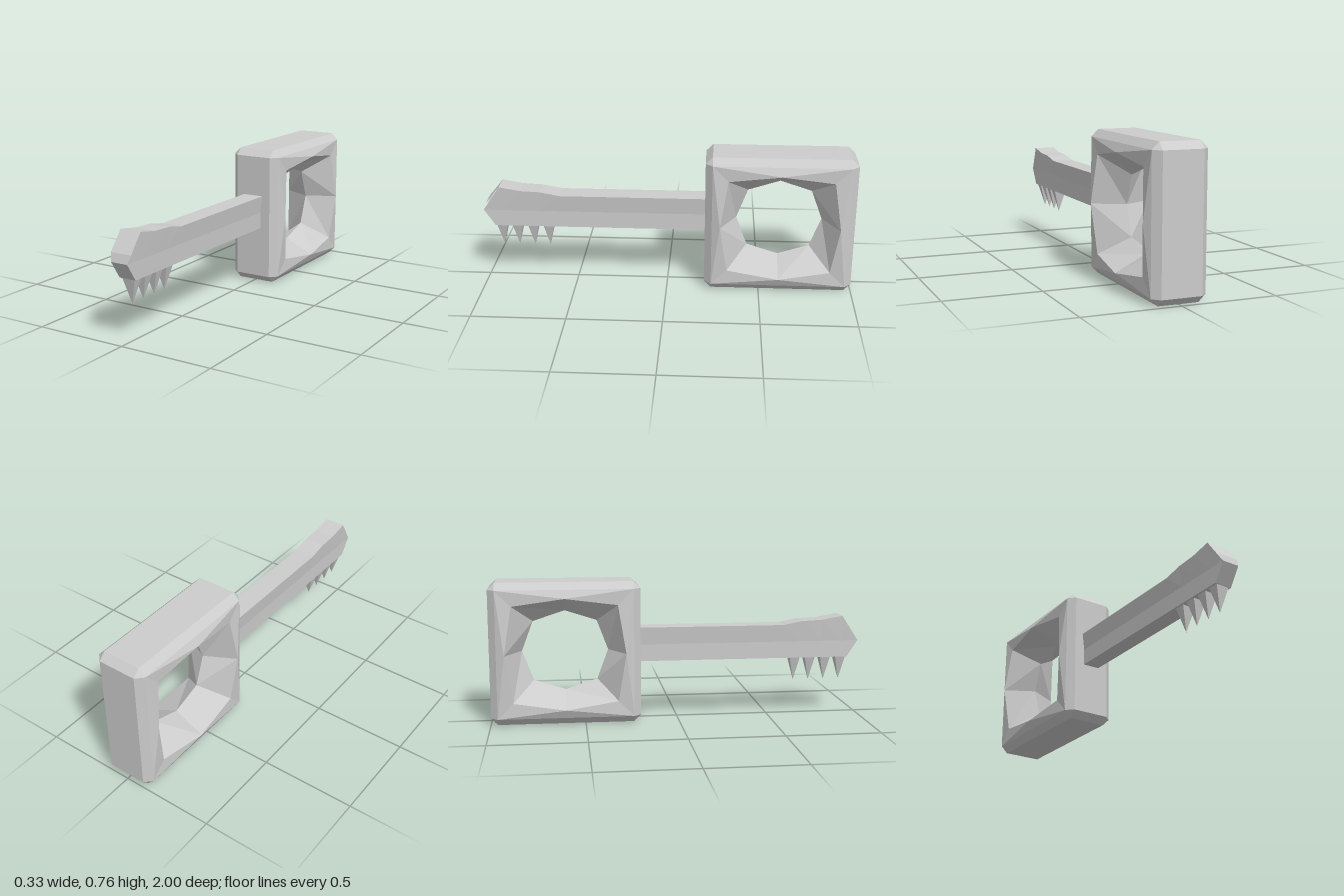
import * as THREE from 'three';

const V = (x, y, z) => new THREE.Vector3(x, y, z);

// Collects flat convex polygons; each is wound to face away from ref (or towards it).
function faceBuilder() {
  const pos = [];
  const add = (pts, ref, towards = false) => {
    for (let i = 1; i < pts.length - 1; i++) {
      const [a, b, c] = [pts[0], pts[i], pts[i + 1]];
      const n = b.clone().sub(a).cross(c.clone().sub(a));
      const mid = a.clone().add(b).add(c).divideScalar(3);
      const outward = n.dot(mid.sub(ref)) > 0;
      const order = outward !== towards ? [a, b, c] : [a, c, b];
      order.forEach(p => pos.push(p.x, p.y, p.z));
    }
  };
  const build = () => {
    const g = new THREE.BufferGeometry();
    g.setAttribute('position', new THREE.Float32BufferAttribute(pos, 3));
    g.computeVertexNormals();
    return g;
  };
  return { add, build };
}

// Bevelled block with an eight-sided funnel hole through its sides
function frameGeometry() {
  const { add, build } = faceBuilder();
  const C = V(0, 0.378, -0.602);
  const half = [0.141, 0.378, 0.398], bevel = 0.037;
  const inner = half.map(h => h - bevel);
  // Corner vertex lying on the face of the given axis
  const corner = (axis, s) => {
    const p = inner.map((h, i) => s[i] * (i === axis ? half[i] : h));
    return V(...p).add(C);
  };
  const signs = [-1, 1];
  for (const s of signs) {
    // Top, bottom, front and back faces
    for (const axis of [1, 2]) {
      const quad = [[-1, -1], [1, -1], [1, 1], [-1, 1]].map(([u, v]) =>
        corner(axis, axis === 1 ? [u, s, v] : [u, v, s]));
      add(quad, C);
    }
    // Edge bevels
    for (const t of signs) {
      for (let along = 0; along < 3; along++) {
        const a = (along + 1) % 3, b = (along + 2) % 3;
        const at = w => { const r = []; r[along] = w; r[a] = s; r[b] = t; return r; };
        add([corner(a, at(-1)), corner(a, at(1)), corner(b, at(1)), corner(b, at(-1))], C);
      }
      // Corner bevels
      for (const u of signs) add([0, 1, 2].map(k => corner(k, [s, t, u])), C);
    }
    // Bulged side face and funnel, one quarter at a time
    const square = [[1, 1], [1, -1], [-1, -1], [-1, 1]];
    const mids = [[0, 1], [1, 0], [0, -1], [-1, 0]];
    const ring = (x, cy, cz, my, mz) => {
      const r = [];
      for (let i = 0; i < 4; i++) {
        r.push(V(s * x[1], mids[i][1] * my, mids[i][0] * mz).add(C));
        r.push(V(s * x[0], square[i][1] * cy, square[i][0] * cz).add(C));
      }
      return r;
    };
    const rim = ring([0.143, 0.163], 0.257, 0.277, 0.296, 0.318);
    const throat = ring([0, 0], 0.16, 0.17, 0.215, 0.23);
    const outer = square.map(([z, y]) => corner(0, [s, y, z]));
    const mouth = V(s * 0.3, C.y, C.z);
    for (let i = 0; i < 4; i++) {
      const A = outer[(i + 3) % 4], B = outer[i];
      const a = rim[(2 * i + 7) % 8], m = rim[2 * i], b = rim[2 * i + 1];
      add([A, a, m], C);
      add([A, m, B], C);
      add([B, m, b], C);
    }
    for (let i = 0; i < 8; i++) {
      const j = (i + 1) % 8;
      add([rim[i], rim[j], throat[j], throat[i]], mouth, true);
    }
  }
  return build();
}

// Long bar lofted through sections, widening towards its top edge
function shaftGeometry() {
  const { add, build } = faceBuilder();
  const ref = V(0, 0.42, 0.8);
  // z at top, top height, z at middle, z at bottom
  const stations = [
    [-0.21, 0.5, -0.21, -0.21], [0.58, 0.5, 0.58, 0.58], [0.685, 0.52, 0.685, 0.685],
    [0.795, 0.525, 0.795, 0.795], [0.908, 0.545, 0.908, 0.908], [0.985, 0.45, 1, 0.94],
  ];
  const side = (s, [zt, yt, zm, zb]) =>
    [V(s * 0.058, yt, zt), V(s * 0.047, 0.407, zm), V(s * 0.047, 0.316, zb)];
  const L = stations.map(st => side(1, st)), R = stations.map(st => side(-1, st));
  for (let i = 0; i < L.length - 1; i++) {
    for (const S of [L, R])
      for (let k = 0; k < 2; k++) add([S[i][k], S[i][k + 1], S[i + 1][k + 1], S[i + 1][k]], ref);
    for (const k of [0, 2]) add([L[i][k], R[i][k], R[i + 1][k], L[i + 1][k]], ref);
  }
  for (const i of [0, L.length - 1])
    for (let k = 0; k < 2; k++) add([L[i][k], L[i][k + 1], R[i][k + 1], R[i][k]], ref);
  return build();
}

export function createModel() {
  const model = new THREE.Group();
  const grey = new THREE.MeshStandardMaterial({ color: 0xcccccc });
  grey.name = 'light grey';
  const part = (name, geometry) => {
    const mesh = new THREE.Mesh(geometry, grey);
    mesh.name = name;
    model.add(mesh);
    return mesh;
  };

  part('handleFrame', frameGeometry());
  part('shaft', shaftGeometry());

  // Four-sided teeth pointing down
  const spike = new THREE.ConeGeometry(Math.SQRT2, 0.134, 4, 1).rotateY(Math.PI / 4)
    .rotateX(Math.PI).scale(0.037, 1, 0.029).toNonIndexed();
  spike.computeVertexNormals();
  [0.907, 0.822, 0.736, 0.651].forEach((z, i) => {
    part('tooth' + (i + 1), spike).position.set(0, 0.252, z);
  });
  return model;
}
